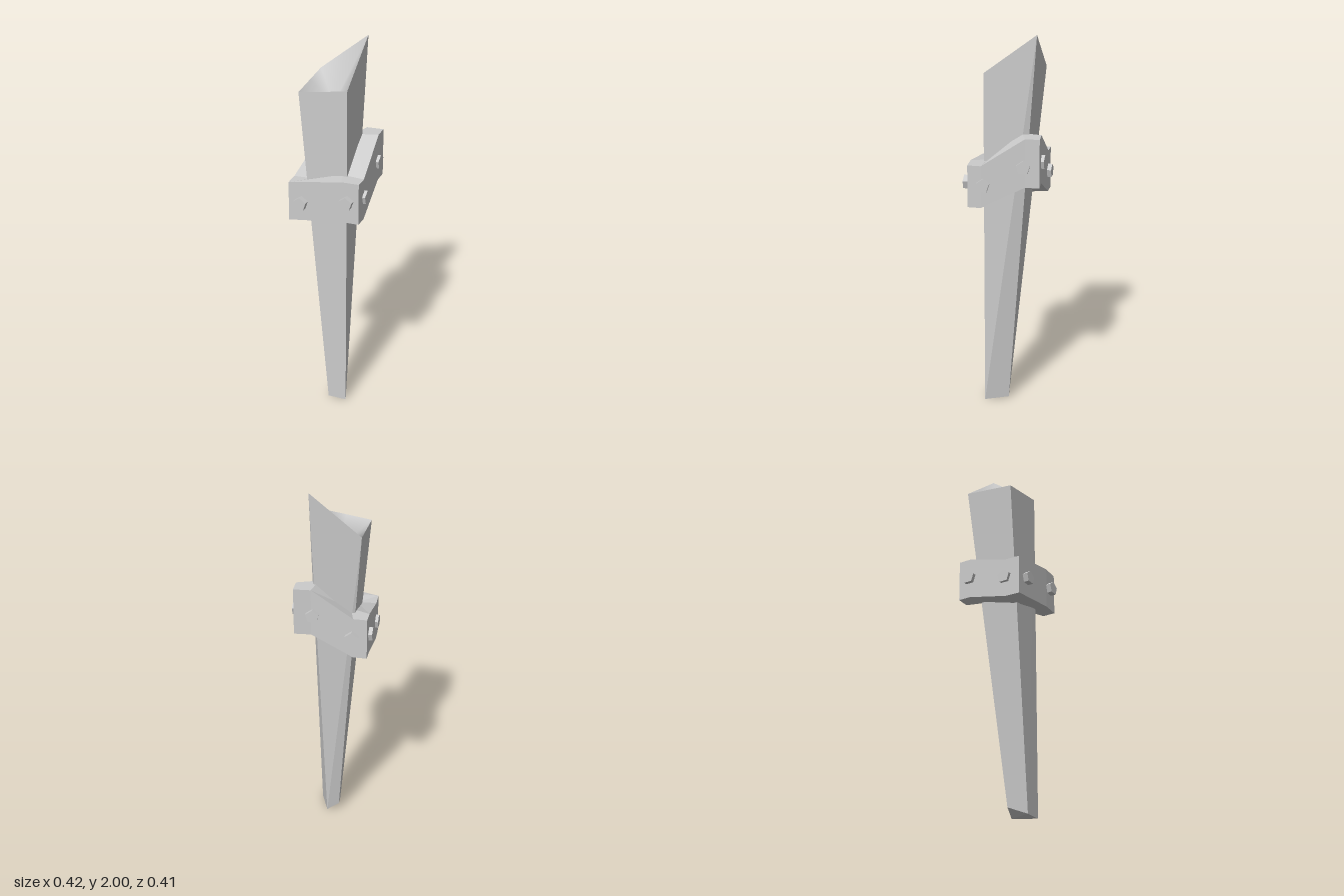
import * as THREE from 'three';

const material = new THREE.MeshStandardMaterial({ color: 0xcccccc, side: THREE.DoubleSide });

// Mesh from a list of corners (each [x, y, z]) and triangle indices
function makeMesh(name, points, faces, smooth = false) {
  let geometry = new THREE.BufferGeometry();
  geometry.setAttribute('position', new THREE.Float32BufferAttribute(points.flat(), 3));
  geometry.setIndex(faces);
  if (!smooth) geometry = geometry.toNonIndexed();
  geometry.computeVertexNormals();
  const mesh = new THREE.Mesh(geometry, material);
  mesh.name = name;
  return mesh;
}

// Quads joining two closed rings of n points stored one after another
function bridge(faces, n, a, b) {
  for (let i = 0; i < n; i++) {
    const j = (i + 1) % n;
    faces.push(a + i, a + j, b + j, a + i, b + j, b + i);
  }
}

export function createModel() {
  const group = new THREE.Group();
  group.name = 'stake';

  // Tapering post, corners in order: front -x, front +x, back +x, back -x
  const foot = [[0, 0, 0.108], [0.1, 0, 0.105], [0.05, 0.005, -0.015], [-0.013, 0.045, 0]];
  const rim = [[-0.155, 1.76, 0.108], [0.1, 1.8, 0.102], [0.1, 2, -0.165], [-0.155, 1.795, -0.165]];
  const postFaces = [0, 3, 2, 0, 2, 1];
  bridge(postFaces, 4, 0, 4);
  group.add(makeMesh('post', [...foot, ...rim], postFaces));

  // Smooth hollow in the slanted top: rim corners and midpoints fanned to a low centre
  const hollow = [];
  rim.forEach((p, i) => {
    const q = rim[(i + 1) % 4];
    hollow.push(p, p.map((v, k) => (v + q[k]) / 2));
  });
  hollow.push([-0.027, 1.67, -0.03]);
  const hollowFaces = [];
  for (let i = 0; i < 8; i++) hollowFaces.push(i, (i + 1) % 8, 8);
  group.add(makeMesh('hollowTop', hollow, hollowFaces, true));

  // Bent collar: stations of outer x, z, bottom y, top y
  const stations = [
    [-0.185, 0.178, 1.09, 1.3], [0.1, 0.172, 1.13, 1.35],
    [0.19, 0.166, 1.13, 1.35], [0.19, 0.098, 1.13, 1.35],
    [0.178, -0.125, 1.25, 1.5], [0.176, -0.198, 1.25, 1.5],
    [0.09, -0.19, 1.25, 1.5], [-0.12, -0.186, 1.14, 1.36],
    [-0.19, -0.185, 1.14, 1.36], [-0.19, -0.12, 1.14, 1.36],
    [-0.188, 0.1, 1.09, 1.3],
  ];
  const inner = (x, z) => [
    THREE.MathUtils.clamp(x, -0.09, 0.07), THREE.MathUtils.clamp(z, -0.085, 0.09),
  ];
  const ring = (level, inside) => stations.map((s) => {
    const [x, z] = inside ? inner(s[0], s[1]) : s;
    return [x, s[level], z];
  });
  const n = stations.length;
  const collarFaces = [];
  for (let k = 0; k < 3; k++) bridge(collarFaces, n, k * n, (k + 1) * n);
  group.add(makeMesh('collar',
    [...ring(2, true), ...ring(2, false), ...ring(3, false), ...ring(3, true)], collarFaces));

  // Five-sided bolt heads, two on each side: position of the outer end and facing angle
  const bolts = [
    [-0.115, 1.2, 0.205, 0], [0.13, 1.245, 0.198, 0],
    [0.206, 1.25, 0.087, 0.5], [0.195, 1.355, -0.118, 0.5],
    [0.082, 1.36, -0.208, 1], [-0.115, 1.255, -0.208, 1],
    [-0.21, 1.25, -0.12, 1.5], [-0.204, 1.2, 0.093, 1.5],
  ];
  const head = new THREE.CylinderGeometry(0.036, 0.036, 0.05, 5).toNonIndexed();
  head.computeVertexNormals();
  head.rotateX(Math.PI / 2);
  head.rotateZ(Math.PI); // one point upward
  head.translate(0, 0, -0.025);
  for (const [x, y, z, turn] of bolts) {
    const bolt = new THREE.Mesh(head, material);
    bolt.name = 'bolt';
    bolt.position.set(x, y, z);
    bolt.rotation.y = turn * Math.PI;
    group.add(bolt);
  }
  return group;
}
